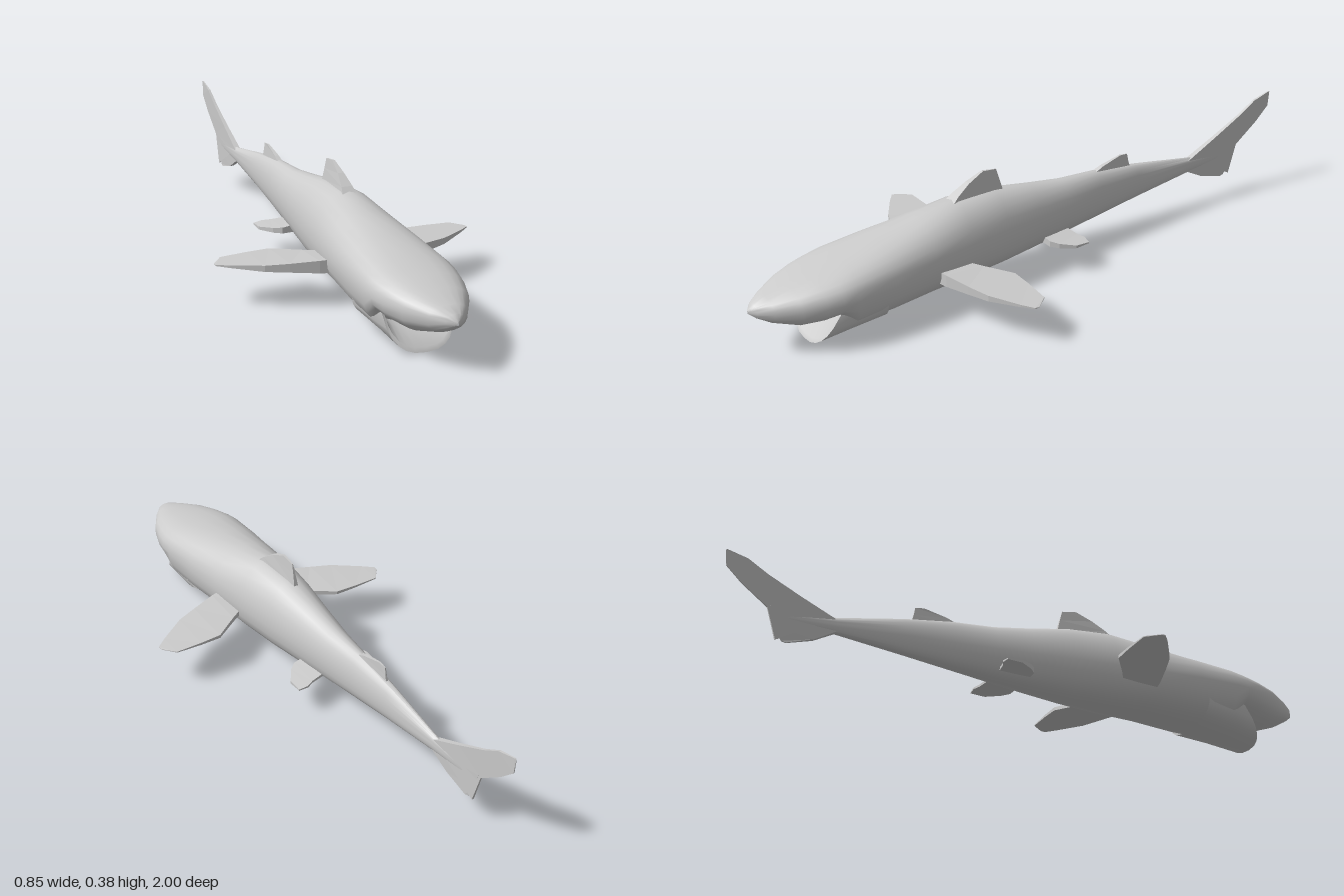
import * as THREE from 'three';
import { toCreasedNormals } from 'three/addons/utils/BufferGeometryUtils.js';

const smooth = new THREE.MeshStandardMaterial({ color: 0xcccccc });
const thin = new THREE.MeshStandardMaterial({ color: 0xcccccc, side: THREE.DoubleSide });
const facet = new THREE.MeshStandardMaterial({ color: 0xcccccc, flatShading: true, side: THREE.DoubleSide });

// Skin a list of rows of [x, y, z] points; closed joins each row into a ring.
function skin(rows, closed) {
  const n = rows[0].length, index = [];
  for (let i = 0; i < rows.length - 1; i++) {
    for (let j = 0; j < (closed ? n : n - 1); j++) {
      const a = i * n + j, b = i * n + (j + 1) % n;
      index.push(a, b, a + n, b, b + n, a + n);
    }
  }
  const g = new THREE.BufferGeometry();
  g.setAttribute('position', new THREE.Float32BufferAttribute(rows.flat(2), 3));
  g.setIndex(index);
  g.computeVertexNormals();
  return g;
}

function add(group, name, geometry, material) {
  const mesh = new THREE.Mesh(geometry, material);
  mesh.name = name;
  group.add(mesh);
}

// Signed power: e below 1 squares off an ellipse.
const power = (v, e) => Math.sign(v) * Math.pow(Math.abs(v), e);

// Body ring: squarish at the head, rounder along the back.
function bodyRing([z, top, bottom, w]) {
  const mid = Math.min(0.163, 0.152 + 0.03 * (1 - z), top - 0.006);
  const upper = THREE.MathUtils.clamp(1 - 0.55 * (z - 0.3), 0.78, 1);
  return Array.from({ length: 24 }, (_, j) => {
    const a = (j / 24) * Math.PI * 2, s = Math.sin(a), c = Math.cos(a);
    const e = c > 0 ? upper : 0.8;
    return [w * power(s, e), mid + (c > 0 ? top - mid : mid - bottom) * power(c, e), z];
  });
}

// Jaw arc from corner to corner, reaching furthest forward at its middle.
function jawArc([w, bottom, zMiddle, zCorner]) {
  return Array.from({ length: 13 }, (_, j) => {
    const a = (j / 12 - 0.5) * Math.PI, c = power(Math.cos(a), 0.75);
    return [w * power(Math.sin(a), 0.8), 0.11 + (bottom - 0.11) * c, zCorner + (zMiddle - zCorner) * c];
  });
}

// Fin stations from root to tip: [span, leading z, trailing z, half thickness].
// place(span, z, t) puts a point in space; sweep lowers the span of the trailing edge.
function fin(stations, sweep, place) {
  const rows = stations.map(([s, lead, trail, t]) => {
    const back = s - sweep * (lead - trail);
    return [place(s, lead, t), place(back, trail, t * 0.4), place(back, trail, -t * 0.4), place(s, lead, -t)];
  });
  const [s, lead, trail] = stations[stations.length - 1];
  const tip = place(s - sweep * (lead - trail) / 2, (lead + trail) / 2, 0);
  return skin([...rows, [tip, tip, tip, tip]], true);
}

export function createModel() {
  const shark = new THREE.Group();
  shark.name = 'shark';

  // Body and upper head, nose to tail: z, top, bottom, half width
  const body = [
    [1.0, 0.158, 0.150, 0.002],
    [0.98, 0.176, 0.133, 0.029],
    [0.94, 0.189, 0.110, 0.062],
    [0.87, 0.209, 0.088, 0.105],
    [0.80, 0.225, 0.090, 0.130],
    [0.75, 0.234, 0.102, 0.141],
    [0.70, 0.244, 0.040, 0.144],
    [0.57, 0.266, 0.040, 0.139],
    [0.42, 0.291, 0.050, 0.127],
    [0.28, 0.315, 0.050, 0.112],
    [0.14, 0.306, 0.055, 0.095],
    [0.0, 0.281, 0.065, 0.075],
    [-0.12, 0.262, 0.076, 0.059],
    [-0.26, 0.253, 0.091, 0.043],
    [-0.42, 0.231, 0.109, 0.028],
    [-0.64, 0.189, 0.133, 0.013],
    [-0.84, 0.162, 0.150, 0.003],
    [-0.85, 0.157, 0.155, 0.0005],
  ];
  add(shark, 'body', toCreasedNormals(skin(body.map(bodyRing), true), 0.8), smooth);

  // Hanging jaw, throat to lip and back along the mouth floor: half width, bottom, middle z, corner z
  const jaw = [
    [0.130, 0.037, 0.60, 0.60],
    [0.120, 0.020, 0.72, 0.70],
    [0.107, 0.001, 0.825, 0.75],
    [0.099, 0.014, 0.818, 0.745],
    [0.096, 0.050, 0.755, 0.735],
    [0.092, 0.075, 0.69, 0.69],
  ];
  add(shark, 'lowerJaw', toCreasedNormals(skin(jaw.map(jawArc), false), 0.7), thin);

  // Paired fins
  const pectoral = [
    [0.08, 0.42, 0.31, 0.023],
    [0.145, 0.407, 0.27, 0.020],
    [0.23, 0.38, 0.212, 0.014],
    [0.30, 0.355, 0.21, 0.010],
    [0.39, 0.297, 0.213, 0.004],
    [0.425, 0.27, 0.255, 0.002],
  ];
  const pelvic = [
    [0.03, -0.01, -0.11, 0.013],
    [0.09, -0.015, -0.122, 0.010],
    [0.115, -0.035, -0.133, 0.008],
    [0.146, -0.08, -0.13, 0.005],
  ];
  for (const [side, label] of [[1, 'left'], [-1, 'right']]) {
    add(shark, label + 'PectoralFin', fin(pectoral, 0, (s, z, t) => [side * s, 0.13 + t, z]), facet);
    add(shark, label + 'PelvicFin', fin(pelvic, 0, (s, z, t) => [side * s, 0.105 - 0.09 * s + t, z]), facet);
  }

  // Fins on the centre line
  const upright = (s, z, t) => [t, s, z];
  add(shark, 'dorsalFin', fin([
    [0.28, 0.33, 0.10, 0.030],
    [0.325, 0.28, 0.11, 0.018],
    [0.355, 0.235, 0.12, 0.010],
    [0.380, 0.18, 0.13, 0.004],
  ], 0.15, upright), facet);
  add(shark, 'rearDorsalFin', fin([
    [0.235, -0.22, -0.40, 0.012],
    [0.262, -0.28, -0.39, 0.007],
    [0.281, -0.355, -0.385, 0.003],
  ], 0.1, upright), facet);
  add(shark, 'upperTailFin', fin([
    [0.180, -0.645, -0.83, 0.010],
    [0.235, -0.76, -0.86, 0.007],
    [0.288, -0.865, -0.945, 0.005],
    [0.328, -0.93, -0.995, 0.004],
    [0.346, -0.995, -1.0, 0.002],
  ], 0.55, upright), facet);
  add(shark, 'lowerTailFin', fin([
    [0.142, -0.635, -0.85, 0.010],
    [0.100, -0.71, -0.84, 0.006],
    [0.074, -0.795, -0.81, 0.003],
  ], -0.2, upright), facet);

  return shark;
}
